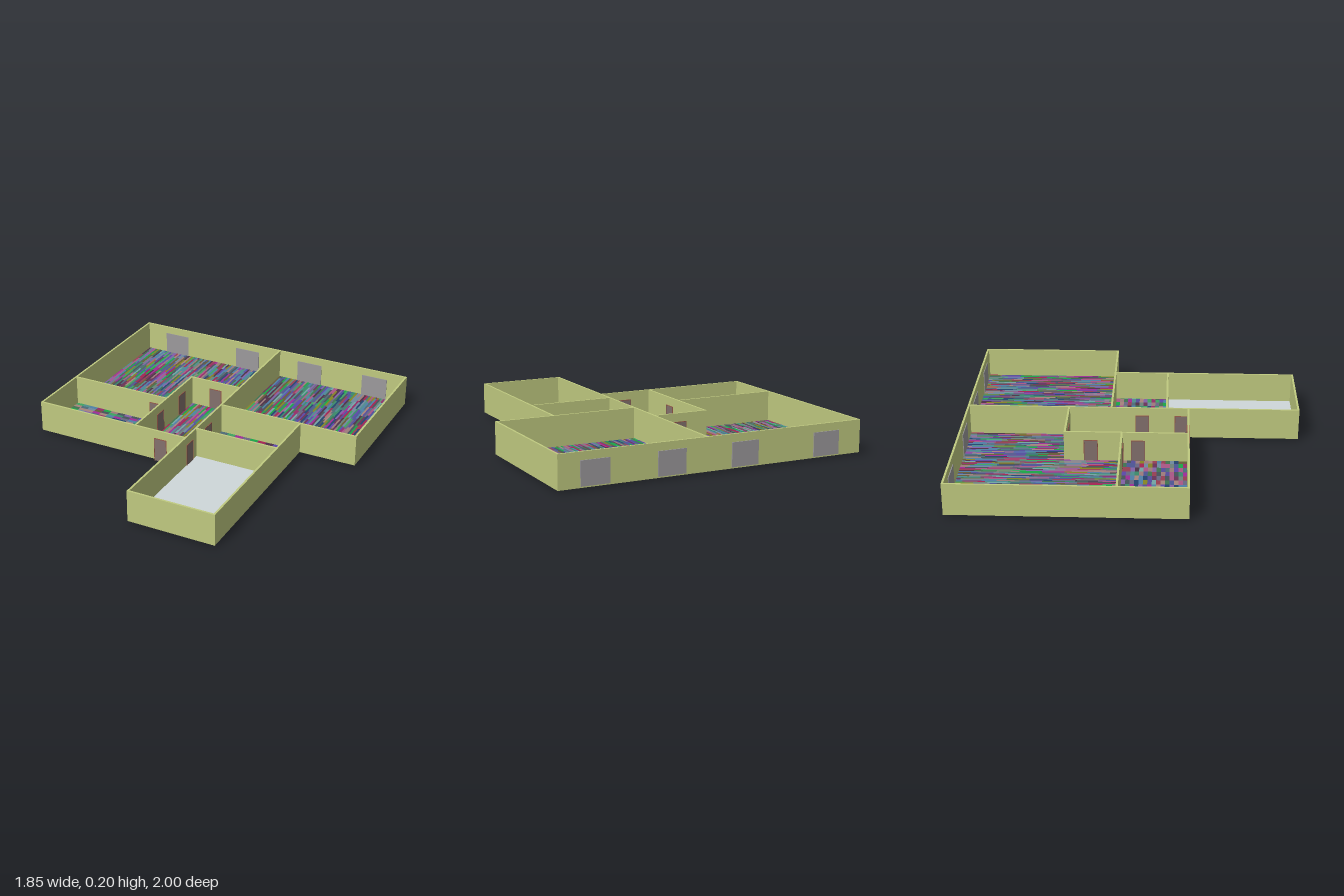
import * as THREE from 'three';
import { mergeGeometries } from 'three/addons/utils/BufferGeometryUtils.js';

const WALL = 0.012, BASE = 0.01, TOP = 0.2;

// Small seeded generator for floor colours and plank offsets
let seed = 7;
const rand = () => {
  seed = (seed * 16807) % 2147483647;
  return seed / 2147483647;
};

const mat = (color) => new THREE.MeshStandardMaterial({ color });

// Box given by its minimum and maximum corners
function boxGeo(x0, x1, y0, y1, z0, z1) {
  const g = new THREE.BoxGeometry(x1 - x0, y1 - y0, z1 - z0);
  g.translate((x0 + x1) / 2, (y0 + y1) / 2, (z0 + z1) / 2);
  return g;
}

function addBox(parent, name, material, ...limits) {
  const m = new THREE.Mesh(boxGeo(...limits), material);
  m.name = name;
  parent.add(m);
  return m;
}

export function createModel() {
  seed = 7;
  const house = new THREE.Group();
  house.name = 'floorPlan';

  // Walls: lines from (x0, z0) to (x1, z1)
  const wallMat = mat(0xc0ca80);
  const walls = new THREE.Group();
  walls.name = 'walls';
  house.add(walls);
  const h = WALL / 2;
  [
    ['backWall', -0.92, -0.985, 0.92, -0.985],
    ['rightOuterWall', -0.92, -0.985, -0.92, 0.335],
    ['leftOuterWall', 0.92, -0.985, 0.92, -0.125],
    ['frontWall', -0.92, 0.335, 0.057, 0.335],
    ['middleWall', 0.057, -0.985, 0.057, 0.992],
    ['bedroomFrontWall', 0.057, -0.125, 0.92, -0.125],
    ['bathroomOuterWall', 0.573, -0.125, 0.573, 0.992],
    ['bathroomFrontWall', 0.057, 0.207, 0.573, 0.207],
    ['extensionFrontWall', 0.057, 0.992, 0.573, 0.992],
    ['hallSideWall', -0.275, -0.38, -0.275, 0.335],
    ['hallBackWall', -0.275, -0.38, 0.057, -0.38],
    ['kitchenBackWall', -0.92, -0.05, -0.275, -0.05],
  ].forEach(([name, x0, z0, x1, z1]) =>
    addBox(walls, name, wallMat, x0 - h, x1 + h, BASE, TOP, z0 - h, z1 + h));

  // Multicoloured floor pieces, collected by palette colour
  const palette = Array.from({ length: 28 }, () =>
    new THREE.Color().setRGB(0.1 + 0.6 * rand(), 0.1 + 0.6 * rand(), 0.1 + 0.6 * rand(), THREE.SRGBColorSpace));
  const materials = palette.map((c) => mat(c));

  function layFloor(name, x0, x1, z0, z1, pieceX, pieceZ, y0, y1, alongZ) {
    const buckets = palette.map(() => []);
    const [u0, u1, v0, v1, du, dv] = alongZ
      ? [x0, x1, z0, z1, pieceX, pieceZ]
      : [z0, z1, x0, x1, pieceZ, pieceX];
    for (let u = u0; u < u1 - 1e-4; u += du) {
      const uEnd = Math.min(u + du, u1);
      // Each row starts with a staggered offset
      for (let v = v0 - dv * (alongZ ? rand() : 0); v < v1 - 1e-4; v += dv) {
        const a = Math.max(v, v0), b = Math.min(v + dv, v1);
        if (b - a < 1e-4) continue;
        const g = alongZ ? boxGeo(u, uEnd, y0, y1, a, b) : boxGeo(a, b, y0, y1, u, uEnd);
        buckets[Math.floor(rand() * palette.length)].push(g);
      }
    }
    const floor = new THREE.Group();
    floor.name = name;
    buckets.forEach((list, i) => {
      if (!list.length) return;
      const m = new THREE.Mesh(mergeGeometries(list), materials[i]);
      m.name = name + 'Pieces';
      floor.add(m);
    });
    house.add(floor);
  }

  const planks = (name, x0, x1, z0, z1) =>
    layFloor(name, x0, x1, z0, z1, 0.0125, 0.13, 0.012, 0.018, true);
  planks('livingRoomPlanks', -0.915, -0.275, -0.98, -0.05);
  planks('livingRoomAlcovePlanks', -0.275, 0.052, -0.98, -0.38);
  planks('bedroomPlanks', 0.062, 0.915, -0.98, -0.13);
  planks('hallPlanks', -0.27, 0.052, -0.375, 0.33);

  // Solid slabs, tiled in the kitchen and bathroom
  const slabMat = mat(0xcfd8da);
  addBox(house, 'kitchenSlab', slabMat, -0.915, -0.28, 0.012, 0.016, -0.045, 0.33);
  addBox(house, 'bathroomSlab', slabMat, 0.062, 0.568, 0.012, 0.016, -0.12, 0.202);
  addBox(house, 'extensionFloor', slabMat, 0.062, 0.568, 0.012, 0.018, 0.212, 0.987);
  const tiles = (name, x0, x1, z0, z1) =>
    layFloor(name, x0, x1, z0, z1, 0.05, 0.025, 0.016, 0.02, false);
  tiles('kitchenTiles', -0.915, -0.28, -0.045, 0.33);
  tiles('bathroomTiles', 0.062, 0.568, -0.12, 0.202);

  // Doors: a leaf in a thin frame, standing through the wall
  const leafMat = mat(0x83716d), frameMat = mat(0x96594a);
  function door(name, x, z, turned) {
    const d = new THREE.Group();
    d.name = name;
    const w = 0.041, t = 0.009, f = 0.004, top = 0.15;
    addBox(d, 'doorLeaf', leafMat, -w + f, w - f, 0.002, top - f, -t, t);
    for (const s of [-1, 1]) {
      const c = s * (w - f / 2);
      addBox(d, 'doorJamb', frameMat, c - f / 2, c + f / 2, 0, top, -t - 0.001, t + 0.001);
    }
    addBox(d, 'doorHead', frameMat, -w + f, w - f, top - f, top, -t - 0.001, t + 0.001);
    d.position.set(x, 0, z);
    if (turned) d.rotation.y = Math.PI / 2;
    house.add(d);
  }
  door('frontDoor', -0.105, 0.335, false);
  door('livingRoomDoor', -0.105, -0.38, false);
  door('kitchenBackDoor', -0.35, -0.05, false);
  door('hallSideDoor', -0.275, -0.23, true);
  door('kitchenDoor', -0.275, 0.045, true);
  door('bathroomDoor', 0.057, 0.06, true);
  door('extensionDoor', 0.057, 0.295, true);

  // Windows along the back wall
  const windowMat = mat(0x9c9a9c);
  [-0.697, -0.172, 0.273, 0.718].forEach((x) =>
    addBox(house, 'window', windowMat, x - 0.083, x + 0.083, 0.018, 0.155, -0.997, -0.975));

  return house;
}
